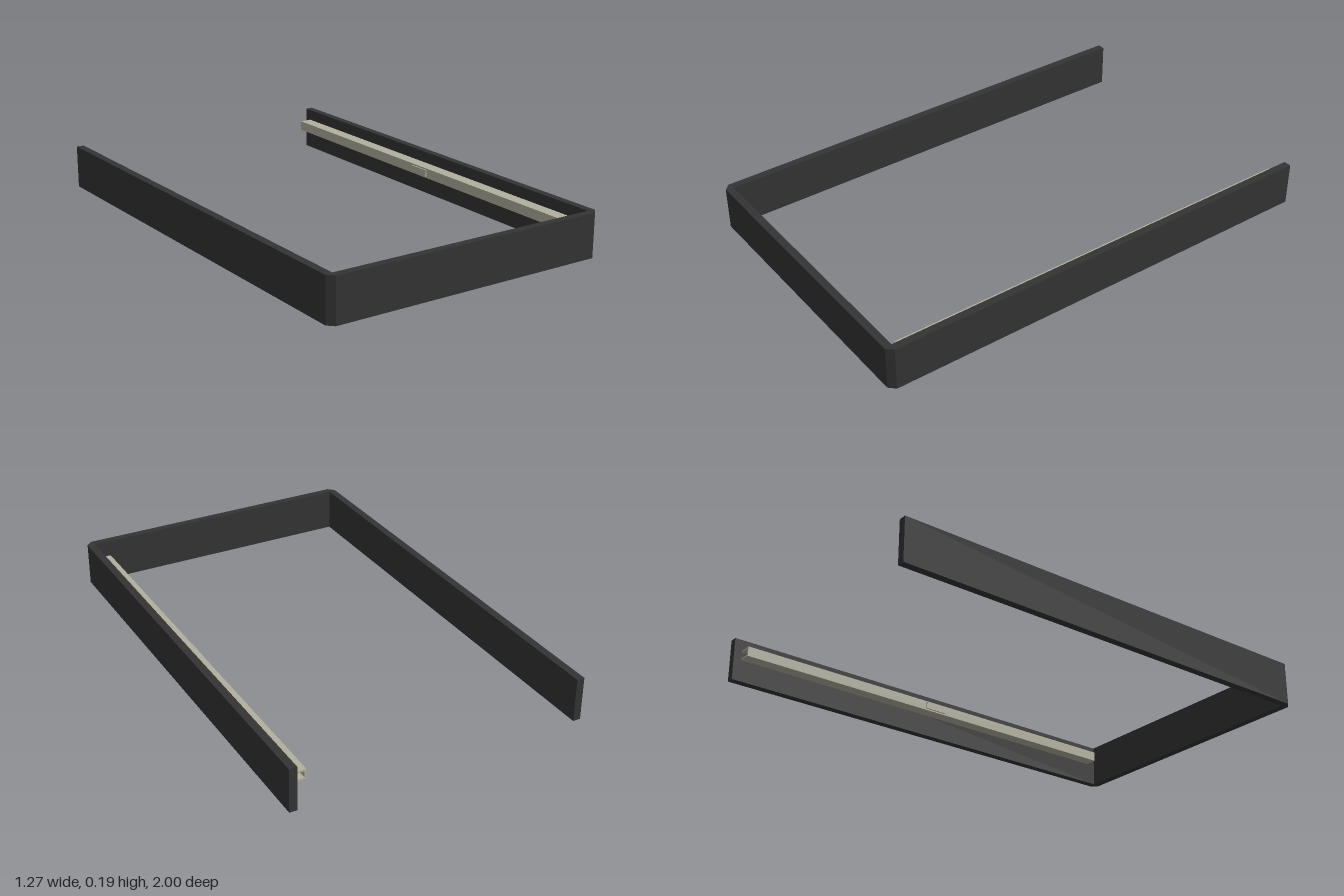
import * as THREE from 'three';

const HEIGHT = 0.187;

// Closed 2D outline from a short list of points
function outline(points) {
  return new THREE.Shape(points.map(([x, y]) => new THREE.Vector2(x, y)));
}

export function createModel() {
  const model = new THREE.Group();
  model.name = 'bracketFrame';
  const charcoal = new THREE.MeshStandardMaterial({ name: 'charcoal', color: 0x333333 });
  const warmGrey = new THREE.MeshStandardMaterial({ name: 'warmGrey', color: 0xb0af9f });

  // U-shaped band seen in plan (x, z), with chamfered outer corners
  const w = 0.637, t = 0.033, c = 0.026;
  const band = new THREE.ExtrudeGeometry(outline([
    [-w, -1], [-w + t, -1], [-w + t, 1 - t], [w - t, 1 - t], [w - t, -1], [w, -1],
    [w, 1 - c], [w - c, 1], [-w + c, 1], [-w, 1 - c],
  ]), { depth: HEIGHT, bevelEnabled: false });
  band.rotateX(Math.PI / 2).translate(0, HEIGHT, 0);
  const frame = new THREE.Mesh(band, charcoal);
  frame.name = 'frame';
  model.add(frame);

  // Channel rail on the inside of the left wall, section in (x, y)
  const inner = 0.549, outer = 0.604, low = 0.095, high = 0.138, thick = 0.008;
  const channel = new THREE.ExtrudeGeometry(outline([
    [inner, low], [outer, low], [outer, low + thick], [inner + thick, low + thick],
    [inner + thick, high - thick], [outer, high - thick], [outer, high], [inner, high],
  ]), { depth: 1.89, bevelEnabled: false });
  channel.translate(0, 0, -0.965);
  const rail = new THREE.Mesh(channel, warmGrey);
  rail.name = 'rail';
  model.add(rail);

  // Small pad at the middle of the rail
  const pad = new THREE.Mesh(new THREE.BoxGeometry(0.006, 0.03, 0.1), warmGrey);
  pad.name = 'railPad';
  pad.position.set(inner - 0.003, (low + high) / 2, -0.02);
  model.add(pad);

  return model;
}
